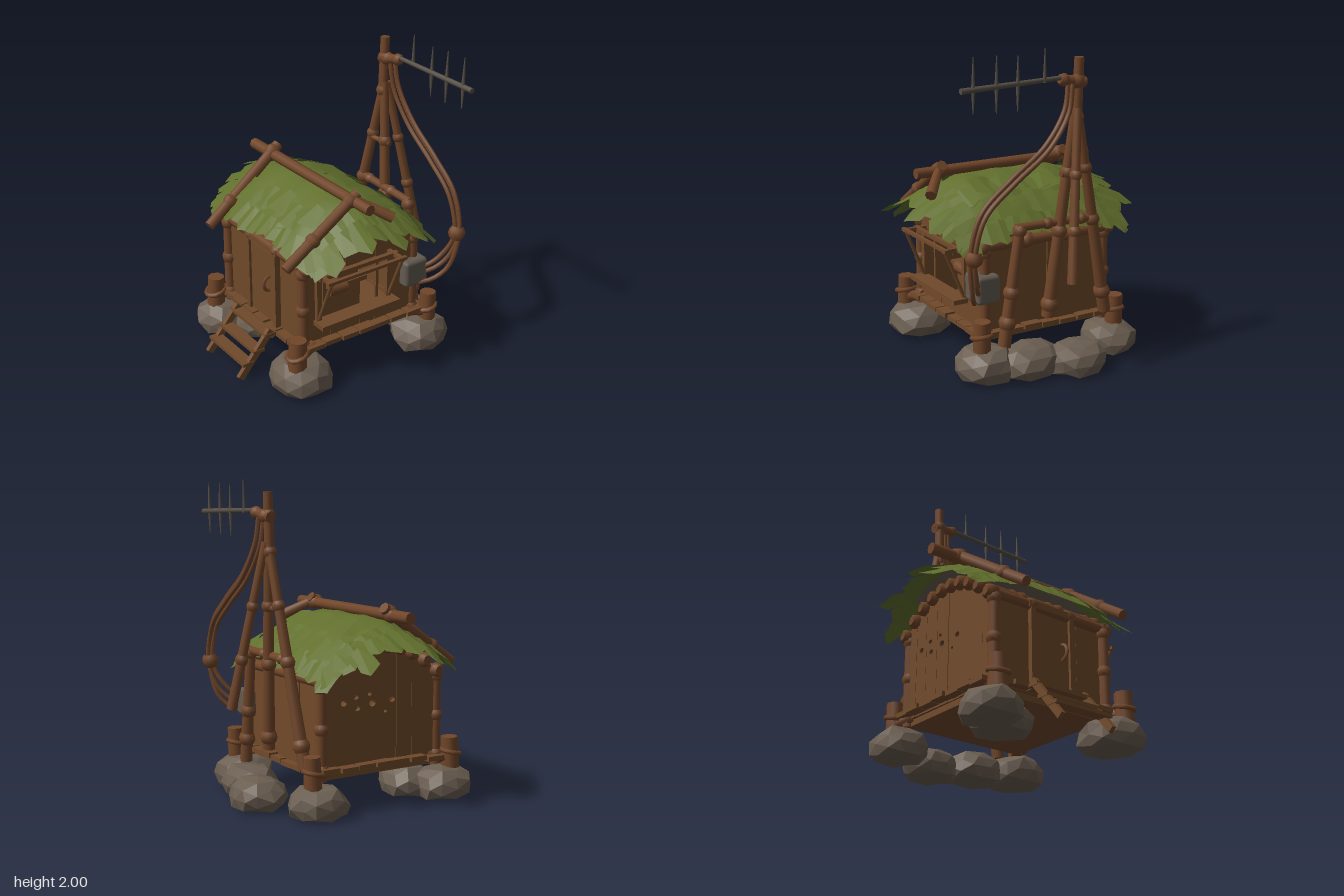
import * as THREE from 'three';
import { mergeGeometries } from 'three/addons/utils/BufferGeometryUtils.js';
import { RoundedBoxGeometry } from 'three/addons/geometries/RoundedBoxGeometry.js';

const mat = (name, color, side = THREE.FrontSide) => {
  const m = new THREE.MeshStandardMaterial({ color, side });
  m.name = name;
  return m;
};
const V = (x, y, z) => new THREE.Vector3(x, y, z);

export function createModel() {
  const model = new THREE.Group();
  model.name = 'stiltHut';
  const wood = mat('boardBrown', 0x704a2a);
  const bark = mat('logBrown', 0x714629);
  const green = mat('thatchGreen', 0x616f2d, THREE.DoubleSide);
  const stone = mat('rockGrey', 0x6b5e51);
  const metal = mat('darkMetal', 0x564e44);
  const boxGrey = mat('boxGrey', 0x625a50);

  let seed = 7;
  const rnd = (a = 0, b = 1) => {
    seed = (seed * 16807) % 2147483647;
    return a + (b - a) * (seed / 2147483647);
  };
  const add = (name, geo, m, parent = model) => {
    const mesh = new THREE.Mesh(geo, m);
    mesh.name = name;
    parent.add(mesh);
    return mesh;
  };
  const group = (name) => {
    const g = new THREE.Group();
    g.name = name;
    model.add(g);
    return g;
  };
  const box = (name, x, y, z, w, h, d, m = wood, parent = model) => {
    const b = add(name, new THREE.BoxGeometry(w, h, d), m, parent);
    b.position.set(x, y, z);
    return b;
  };
  // Log between two points, with rounded bindings at the given fractions
  const log = (name, a, b, r0, r1 = r0, knots = [], parent = model, m = bark) => {
    const dir = b.clone().sub(a), len = dir.length();
    const parts = [new THREE.CylinderGeometry(r1, r0, len, 8)];
    for (const t of knots) {
      const r = r0 + (r1 - r0) * t, profile = [[0.9, -1.1], [1.25, -0.55], [1.38, 0], [1.25, 0.55], [0.9, 1.1]];
      parts.push(new THREE.LatheGeometry(profile.map(([x, y]) => new THREE.Vector2(x * r, y * r)), 8).translate(0, (t - 0.5) * len, 0));
    }
    const mesh = add(name, mergeGeometries(parts), m, parent);
    mesh.position.copy(a).add(b).multiplyScalar(0.5);
    mesh.quaternion.setFromUnitVectors(V(0, 1, 0), dir.normalize());
    return mesh;
  };

  // Foundation rocks: blocky, faceted, with a broad flat base
  const rocks = group('rocks');
  const blocky = (c) => Math.sign(c) * Math.abs(c) ** 0.85;
  [[-0.51, -0.47, 0.2, 0.18, 0.19], [-0.51, 0.44, 0.2, 0.21, 0.2], [-0.36, -0.28, 0.17, 0.2, 0.19],
    [0.41, -0.46, 0.19, 0.18, 0.19], [0.61, -0.08, 0.18, 0.2, 0.19], [0.51, 0.2, 0.17, 0.22, 0.19],
    [0.42, 0.46, 0.2, 0.19, 0.2]].forEach(([x, z, rx, rz, h], i) => {
    const geo = new THREE.IcosahedronGeometry(1, 1), p = geo.attributes.position;
    for (let k = 0; k < p.count; k++) {
      const v = V().fromBufferAttribute(p, k);
      const s = 0.95 + 0.08 * Math.sin(v.x * 5 + i * 2) * Math.cos(v.z * 4 + v.y * 3 + i);
      const y = THREE.MathUtils.clamp((v.y * s + 0.5) * 0.72, 0, 1);
      p.setXYZ(k, blocky(v.x) * s * rx, y * h, blocky(v.z) * s * rz);
    }
    geo.computeVertexNormals();
    add('rock', geo, stone, rocks).position.set(x, 0, z);
  });

  // Floor slab with projecting planks on every edge
  const floor = group('floor');
  box('floorSlab', -0.045, 0.225, 0, 0.82, 0.05, 0.86, wood, floor);
  for (let i = 0; i < 7; i++) for (const s of [-1, 1]) {
    const t = (i - 3) * 0.128;
    box('edgePlank', -0.045 + t, 0.262 + rnd(-0.01, 0.008), s * 0.46, 0.118, 0.03, rnd(0.08, 0.12), wood, floor);
    box('edgePlank', -0.045 + s * 0.44, 0.258 + rnd(-0.008, 0.008), t, rnd(0.08, 0.12), 0.03, 0.118, wood, floor);
  }

  // Gable walls: upright boards under an arch, with a window in front and holes at the back
  const arch = (x) => 0.8 + 0.19 * (1 - ((x + 0.045) / 0.43) ** 2);
  const walls = group('walls');
  const board = (x0, x1, y0, y1, z, holes = []) => {
    const top = (x) => y1 ?? arch(x), xm = (x0 + x1) / 2;
    const s = new THREE.Shape([[x0, y0], [x1, y0], [x1, top(x1)], [xm, top(xm)], [x0, top(x0)]]
      .map(([x, y]) => new THREE.Vector2(x, y)));
    for (const [x, y, r] of holes) if (x > x0 && x < x1) {
      const h = new THREE.Path();
      h.absellipse(x, y, r * 1.2, r, 0, Math.PI * 2, true);
      s.holes.push(h);
    }
    const geo = new THREE.ExtrudeGeometry(s, { depth: 0.03, bevelEnabled: false, curveSegments: 4 });
    add('wallBoard', geo, wood, walls).position.z = z - 0.015 + rnd(-0.007, 0.007);
  };
  const edges = [-0.47, -0.4, -0.285, -0.17, -0.055, 0.06, 0.17, 0.27, 0.38];
  const holes = [[-0.14, 0.65, 0.018], [0.01, 0.64, 0.02], [0.03, 0.7, 0.012], [0.12, 0.62, 0.017],
    [0.13, 0.69, 0.015], [-0.09, 0.58, 0.01], [0.22, 0.66, 0.018]];
  for (let i = 0; i < edges.length - 1; i++) {
    const x0 = edges[i], x1 = edges[i + 1];
    board(x0, x1, 0.24, undefined, -0.43, holes);
    if (i > 0 && i < 6) {
      board(x0, x1, 0.24, 0.41, 0.43);
      board(x0, x1, 0.73, undefined, 0.43);
    } else board(x0, x1, 0.24, undefined, 0.43);
  }
  // Side walls
  [-0.321, -0.107, 0.107, 0.321].forEach((z) => {
    for (const x of [-0.46, 0.375]) box('sideBoard', x + rnd(-0.008, 0.008), 0.53, z, 0.03, 0.58, 0.214, wood, walls);
  });

  // Window frame, sill, slats and things inside
  const win = group('window');
  box('topRail', -0.11, 0.74, 0.5, 0.6, 0.025, 0.03, wood, win);
  box('sill', -0.11, 0.41, 0.49, 0.6, 0.03, 0.11, wood, win);
  for (const x of [-0.38, 0.16]) {
    box('framePost', x, 0.57, 0.45, 0.035, 0.33, 0.03, wood, win);
    box('railArm', x, 0.74, 0.51, 0.025, 0.025, 0.18, wood, win);
    log('prop', V(x, 0.43, 0.46), V(x, 0.73, 0.585), 0.012, 0.012, [], win, wood);
  }
  box('outerRail', -0.11, 0.745, 0.59, 0.6, 0.02, 0.025, wood, win);
  for (const x of [-0.31, 0.1]) box('slat', x, 0.57, 0.41, 0.02, 0.33, 0.015, wood, win);
  box('table', -0.1, 0.5, 0.2, 0.42, 0.03, 0.2, wood, win);
  box('tableFront', -0.1, 0.37, 0.25, 0.36, 0.25, 0.03, wood, win);
  box('crate', -0.02, 0.54, 0.22, 0.16, 0.07, 0.1, wood, win);
  log('roll', V(-0.2, 0.5, 0.3), V(-0.06, 0.49, 0.3), 0.042, 0.035, [], win);

  // Door, frame and handle on the stair side
  const door = group('door');
  box('doorPanel', -0.48, 0.52, 0, 0.025, 0.48, 0.26, wood, door);
  for (const z of [-0.15, 0.15]) box('doorPost', -0.488, 0.53, z, 0.04, 0.54, 0.035, wood, door);
  box('lintel', -0.49, 0.8, 0, 0.04, 0.04, 0.36, wood, door);
  const handle = add('handle', new THREE.TorusGeometry(0.05, 0.012, 5, 10, Math.PI), bark, door);
  handle.position.set(-0.488, 0.55, 0.08);
  handle.rotation.z = Math.PI / 2;

  // Corner posts and rope-bound stumps
  const posts = group('posts');
  for (const x of [-0.48, 0.37]) for (const z of [-0.43, 0.43])
    log('cornerPost', V(x, 0.2, z), V(x, 0.83, z), 0.036, 0.033, [0.1, 0.5, 0.9], posts);
  for (const z of [-0.47, 0.5]) {
    for (const [x, r, inner] of [[-0.575, 0.062, -0.42], [0.45, 0.058, 0.32]]) {
      log('stump', V(x, 0.12, z), V(x + 0.01, 0.37, z), r, r * 0.9, [], posts);
      const rope = add('stumpRope', new THREE.TorusGeometry(r, 0.016, 6, 12), bark, posts);
      rope.position.set(x, 0.27, z);
      rope.rotation.set(Math.PI / 2, 0.25, 0);
      log('stumpTie', V(x - Math.sign(x) * 0.01, 0.23, z), V(inner, 0.26, z * 0.9), 0.035, 0.035, [], posts);
    }
  }

  // Steps
  const steps = group('steps');
  for (const z of [-0.2, 0.18]) {
    const s = box('stringer', -0.675, 0.145, z, 0.36, 0.045, 0.03, wood, steps);
    s.rotation.z = 0.87;
  }
  [[-0.735, 0.1], [-0.655, 0.165], [-0.57, 0.255]].forEach(([x, y]) => box('tread', x, y, -0.01, 0.08, 0.022, 0.42, wood, steps));

  // Roof poles whose ends follow the arch
  const roof = group('roof');
  for (let i = 0; i < 10; i++) {
    const x = -0.47 + i * 0.0945, y = arch(x);
    log('purlin', V(x, y, -0.48), V(x, y, 0.48), 0.036, 0.036, [0.03, 0.35, 0.65, 0.97], roof);
  }

  // Thatch sheet following the roof profile and drooping at both ends
  const profile = [[-0.56, 0.86], [-0.4, 1.01], [-0.25, 1.1], [-0.13, 1.15], [0.08, 1.11], [0.25, 1.03], [0.36, 0.93], [0.46, 0.81]];
  const roofY = (x, z) => {
    let i = 0;
    while (i < profile.length - 2 && x > profile[i + 1][0]) i++;
    const [x0, y0] = profile[i], [x1, y1] = profile[i + 1];
    return y0 + (y1 - y0) * (x - x0) / (x1 - x0) - 0.35 * Math.max(0, Math.abs(z) - 0.3)
      + 0.01 * Math.sin(z * 22 + x * 6) * Math.cos(x * 9);
  };
  const roofSheet = (name, w, d, turn, offset, m) => {
    const geo = new THREE.PlaneGeometry(w, d, 16, 18).rotateX(turn).translate(-0.05, 0, 0), p = geo.attributes.position;
    for (let i = 0; i < p.count; i++) p.setY(i, roofY(p.getX(i), p.getZ(i)) + offset);
    geo.computeVertexNormals();
    add(name, geo, m, roof);
  };
  roofSheet('thatch', 0.92, 1.14, -Math.PI / 2, 0, green);
  roofSheet('lining', 0.5, 1.06, Math.PI / 2, -0.02, stone);

  // Folded, pointed leaves around the rim and over the slopes
  const leaves = [];
  const leaf = (x, z, dx, dz, drop, len, w, lift = 0.012) => {
    const base = V(x, roofY(x, z) + lift, z), d = V(dx, 0, dz).normalize();
    const side = V(d.z, 0, -d.x);
    // tilt the leaf sideways along the local roof slope
    side.y = (roofY(x + side.x * 0.04, z + side.z * 0.04) - roofY(x - side.x * 0.04, z - side.z * 0.04)) / 0.08;
    side.normalize();
    d.y = -drop;
    d.normalize();
    const at = (s, l, up) => base.clone().addScaledVector(side, s * w).addScaledVector(d, l * len).add(V(0, up, 0));
    const c = at(0, 0, 0.01), rim = [at(-0.4, 0, 0), at(-0.5, 0.7, -0.008), at(rnd(-0.25, 0.25), 1, 0), at(0.5, 0.78, -0.008), at(0.4, 0, 0)];
    const pts = [];
    for (let i = 0; i < 4; i++) pts.push(c, rim[i], rim[i + 1]);
    leaves.push(new THREE.BufferGeometry().setFromPoints(pts));
  };
  const backLengths = [0.1, 0.15, 0.29, 0.16, 0.27, 0.2, 0.16, 0.26, 0.13, 0.07];
  const frontLengths = [0.12, 0.23, 0.18, 0.25, 0.2, 0.29, 0.18, 0.23, 0.16, 0.1];
  for (const s of [-1, 1]) {
    // front and back fringe
    (s < 0 ? backLengths : frontLengths).forEach((len, i) => {
      const x = -0.46 + i * 0.091, fan = (x + 0.05) * 0.3;
      leaf(x, s * 0.53, fan + rnd(-0.2, 0.2), s, rnd(0.35, 0.48), len, rnd(0.11, 0.15));
      leaf(x + 0.02, s * 0.45, fan + rnd(-0.2, 0.2), s, 0.42, rnd(0.15, 0.18), 0.14, 0.015);
    });
    // eaves
    for (let i = 0; i < 12; i++) {
      const z = -0.5 + i * 0.091 + rnd(-0.015, 0.015);
      leaf(s < 0 ? -0.45 : 0.35, z, s, z * 0.4 + rnd(-0.3, 0.3), s < 0 ? 0.85 : 0.95, rnd(0.11, 0.18), rnd(0.11, 0.15), 0.015);
    }
    // overlapping layers on the slopes
    for (const [x, drop] of s < 0 ? [[-0.29, 0.62]] : [[0.04, 0.36], [0.21, 0.72]])
      for (let i = 0; i < 7; i++) leaf(x + rnd(-0.03, 0.03), -0.43 + i * 0.143, s, rnd(-0.2, 0.2), drop, rnd(0.16, 0.21), 0.19, 0.008);
  }
  const leafGeo = mergeGeometries(leaves);
  leafGeo.computeVertexNormals();
  add('leaves', leafGeo, green, roof);

  // Ridge log and rafters tied over it
  log('ridgeLog', V(-0.13, 1.17, -0.64), V(-0.13, 1.17, 0.63), 0.037, 0.034, [0.16, 0.86], roof);
  log('frontRafter', V(-0.1, 1.21, 0.46), V(-0.63, 0.86, 0.47), 0.034, 0.034, [0.1, 0.62], roof);
  log('backRafter', V(-0.08, 1.22, -0.43), V(-0.67, 0.83, -0.34), 0.036, 0.034, [0.08, 0.7], roof);
  log('shortRafter', V(-0.14, 1.19, 0.46), V(0.05, 1.07, 0.62), 0.028, 0.036, [], roof);

  // Antenna tower on the left side
  const tower = group('tower');
  log('mast', V(0.53, 1.5, -0.11), V(0.545, 1.92, -0.115), 0.033, 0.03, [0.15, 0.68], tower);
  log('middleLeg', V(0.465, 0.32, 0.04), V(0.535, 1.62, -0.1), 0.042, 0.028, [0.06, 0.42, 0.7], tower);
  log('backLeg', V(0.46, 0.28, -0.39), V(0.54, 1.62, -0.11), 0.042, 0.026, [0.1, 0.47, 0.72], tower);
  log('outerLeg', V(0.725, 0.6, 0.035), V(0.555, 1.62, -0.1), 0.033, 0.025, [0.3, 0.62], tower);
  log('frontLeg', V(0.46, 0.18, 0.35), V(0.475, 0.93, 0.245), 0.042, 0.032, [0.2, 0.45, 0.96], tower);
  log('crossBar', V(0.475, 0.92, 0.27), V(0.495, 0.92, -0.26), 0.027, 0.027, [0.4, 0.85], tower);
  log('sideTie', V(0.5, 1.22, -0.2), V(0.52, 1.22, -0.01), 0.018, 0.018, [], tower);
  log('lashing', V(0.545, 1.77, -0.15), V(0.56, 1.8, 0.03), 0.036, 0.028, [0.3, 0.85], tower);

  // Antenna: tapered boom with prongs above and below
  const antenna = group('antenna');
  log('boom', V(0.56, 1.81, -0.02), V(0.57, 1.785, 0.69), 0.014, 0.018, [], antenna, metal);
  [[0.14, 1.81, 1.99], [0.32, 1.64, 1.96], [0.46, 1.64, 1.97], [0.61, 1.65, 1.97]].forEach(([z, y0, y1]) => {
    log('prong', V(0.568, 1.79, z), V(0.572, y1, z), 0.012, 0.003, [], antenna, metal);
    if (y0 < 1.79) log('prong', V(0.568, 1.79, z), V(0.566, y0, z), 0.012, 0.003, [], antenna, metal);
  });

  // Cables sagging into the wall box, fanning out at the lower end
  const cables = group('cables');
  for (const [ox, o] of [[-0.012, -0.012], [0.014, 0], [0, 0.02]]) {
    const path = new THREE.CatmullRomCurve3([V(0.56, 1.77, -0.05), V(0.57, 1.6, -0.02), V(0.58, 1.4, 0.12), V(0.58, 1.22, 0.36),
      V(0.58, 1.05, 0.55), V(0.575, 0.81, 0.62), V(0.53, 0.64, 0.585), V(0.45, 0.55, 0.53), V(0.36, 0.52, 0.47)]
      .map((p, i) => p.add(V(ox, o * (i > 5 ? -3 : 1), o))));
    add('cable', new THREE.TubeGeometry(path, 40, 0.015, 6), bark, cables);
  }
  log('cableKnot', V(0.58, 0.84, 0.615), V(0.57, 0.785, 0.62), 0.04, 0.04, [0.5], cables);
  const jb = add('junctionBox', new RoundedBoxGeometry(0.18, 0.18, 0.16, 1, 0.025), boxGrey, cables);
  jb.position.set(0.35, 0.545, 0.435);

  return model;
}
